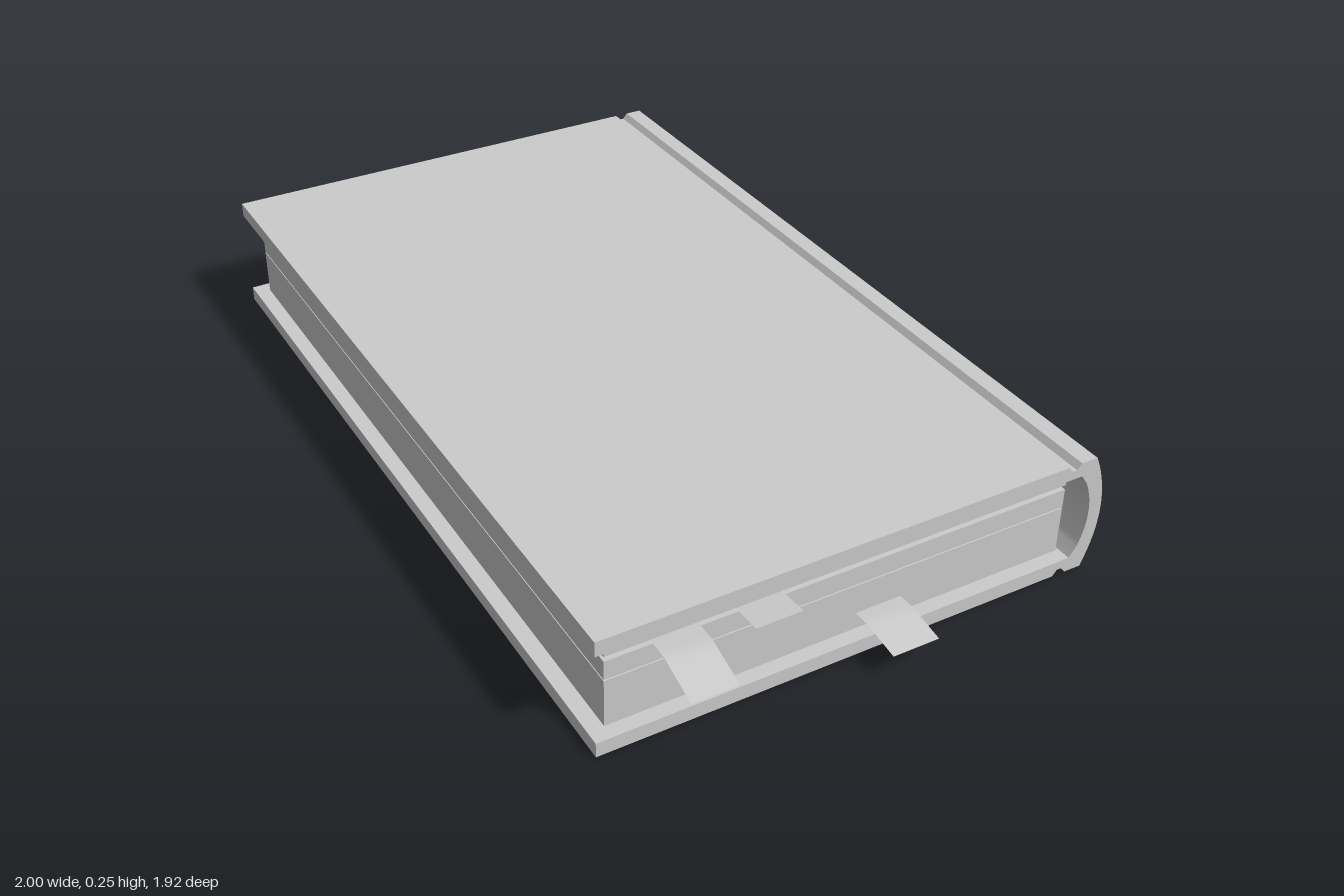
import * as THREE from 'three';
import { toCreasedNormals } from 'three/addons/utils/BufferGeometryUtils.js';

const HALF_LEN = 0.856;   // half length along the spine
const HALF_W = 0.535;     // half width, fore edge to spine
const H = 0.252;          // total thickness
const BOARD = 0.031;      // cover board thickness

export function createModel() {
  const model = new THREE.Group();
  const book = new THREE.Group();
  book.name = 'book';
  book.rotation.y = -0.703;
  model.add(book);

  const material = new THREE.MeshStandardMaterial({ color: 0xcccccc });
  const ribbonMaterial = new THREE.MeshStandardMaterial({ color: 0xcccccc, side: THREE.DoubleSide });
  const add = (name, geometry, mat = material) => {
    const mesh = new THREE.Mesh(geometry, mat);
    mesh.name = name;
    book.add(mesh);
    return mesh;
  };

  // Cover: one C-shaped section (boards, hinge grooves, rounded spine) run along the spine
  const s = new THREE.Shape();
  s.moveTo(-HALF_W, 0);
  s.lineTo(0.440, 0);
  s.lineTo(0.450, 0.012);
  s.lineTo(0.460, 0.012);
  s.lineTo(0.470, 0);
  s.lineTo(0.506, 0);
  s.quadraticCurveTo(2 * HALF_W - 0.506, H / 2, 0.506, H);
  s.lineTo(0.470, H);
  s.lineTo(0.460, H - 0.012);
  s.lineTo(0.450, H - 0.012);
  s.lineTo(0.440, H);
  s.lineTo(-HALF_W, H);
  s.lineTo(-HALF_W, H - BOARD);
  s.lineTo(0.475, H - BOARD);
  s.lineTo(0.490, H - BOARD - 0.022);
  s.quadraticCurveTo(0.522, H / 2, 0.490, BOARD + 0.022);
  s.lineTo(0.475, BOARD);
  s.lineTo(-HALF_W, BOARD);
  s.closePath();
  const cover = new THREE.ExtrudeGeometry(s, { depth: 2 * HALF_LEN, bevelEnabled: false, curveSegments: 16 });
  cover.translate(0, 0, -HALF_LEN);
  cover.rotateY(Math.PI / 2);
  add('cover', toCreasedNormals(cover, 0.4));

  // Page block: three sheaves round a slightly smaller core, leaving thin gaps
  const pages = (name, y0, y1, inset) => {
    const front = 0.503 - inset, back = -0.468 + inset;
    const g = new THREE.BoxGeometry(2 * (HALF_LEN - 0.03 - inset), y1 - y0, front - back);
    add(name, g).position.set(0, (y0 + y1) / 2, (front + back) / 2);
  };
  pages('pageCore', BOARD, H - BOARD, 0.012);
  pages('lowerPages', BOARD, 0.131, 0);
  pages('middlePages', 0.134, 0.174, 0);
  pages('upperPages', 0.184, H - BOARD, 0);

  // Bookmark tabs: [centre z, width, tip x, root y, middle y, tip y, sideways drift]
  const tabs = [
    [-0.055, 0.098, 0.942, 0.066, 0.068, 0.055, 0],
    [0.202, 0.094, 0.890, 0.179, 0.183, 0.187, 0],
    [0.365, 0.092, 0.972, 0.179, 0.184, 0.165, 0.012],
  ];
  for (const [z, w, tip, y0, y1, y2, drift] of tabs) {
    const root = 0.78;
    const g = new THREE.PlaneGeometry(tip - root, w, 8, 1);
    g.rotateX(-Math.PI / 2);
    const p = g.attributes.position;
    for (let i = 0; i < p.count; i++) {
      const t = p.getX(i) / (tip - root) + 0.5;
      const y = t < 0.5 ? y0 + (y1 - y0) * t * 2 : y1 + (y2 - y1) * (t * 2 - 1);
      p.setXYZ(i, root + t * (tip - root), y, z + p.getZ(i) + drift * t);
    }
    g.computeVertexNormals();
    add('bookmark', g, ribbonMaterial);
  }

  return model;
}
